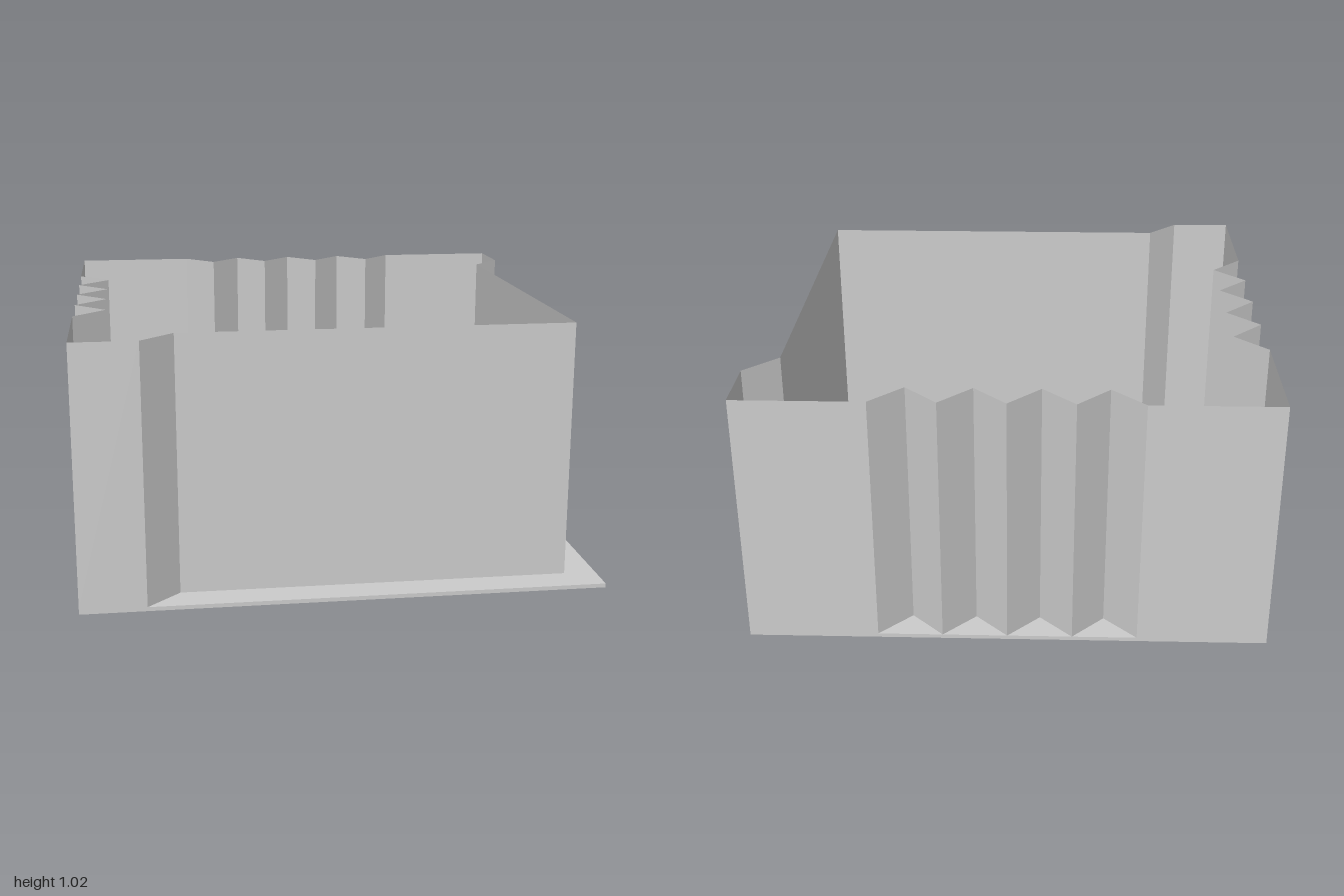
import * as THREE from 'three';

const BASE = 0.0156, WALL = 1, STEP = 0.125;

// Upright sheet following a closed plan outline of [x, z] points, one flat panel per side
function wallGeometry(outline) {
  const positions = [];
  outline.forEach(([x0, z0], i) => {
    const [x1, z1] = outline[(i + 1) % outline.length];
    positions.push(
      x0, 0, z0, x1, 0, z1, x1, WALL, z1,
      x0, 0, z0, x1, WALL, z1, x0, WALL, z0
    );
  });
  const geometry = new THREE.BufferGeometry();
  geometry.setAttribute('position', new THREE.Float32BufferAttribute(positions, 3));
  geometry.computeVertexNormals();
  return geometry;
}

export function createModel() {
  const group = new THREE.Group();
  const material = new THREE.MeshStandardMaterial({ color: 0xcccccc, flatShading: true });
  const sheetMaterial = material.clone();
  sheetMaterial.side = THREE.DoubleSide;

  // Thin square floor
  const floor = new THREE.Mesh(new THREE.BoxGeometry(2, BASE, 2), material);
  floor.name = 'floor';
  floor.position.y = BASE / 2;
  group.add(floor);

  // Pleats: four inward folds, as [distance along the side, distance across it]
  const pleats = [];
  for (let i = 0; i <= 8; i++) pleats.push([0.5 - i * STEP, i % 2 ? -1 + STEP : -1]);

  // Counter-clockwise from above: recessed front and right, pleated back and left
  const outline = [
    [-1, 1], [-0.75, 1], [-0.625, 0.875], [0.875, 0.875],
    [0.875, -0.625], [1, -0.75], [1, -1],
    ...pleats.map(([along, across]) => [along, across]),
    [-1, -1],
    ...pleats.map(([along, across]) => [across, -along])
  ];
  const walls = new THREE.Mesh(wallGeometry(outline), sheetMaterial);
  walls.name = 'pleatedWalls';
  walls.position.y = BASE;
  group.add(walls);

  return group;
}
